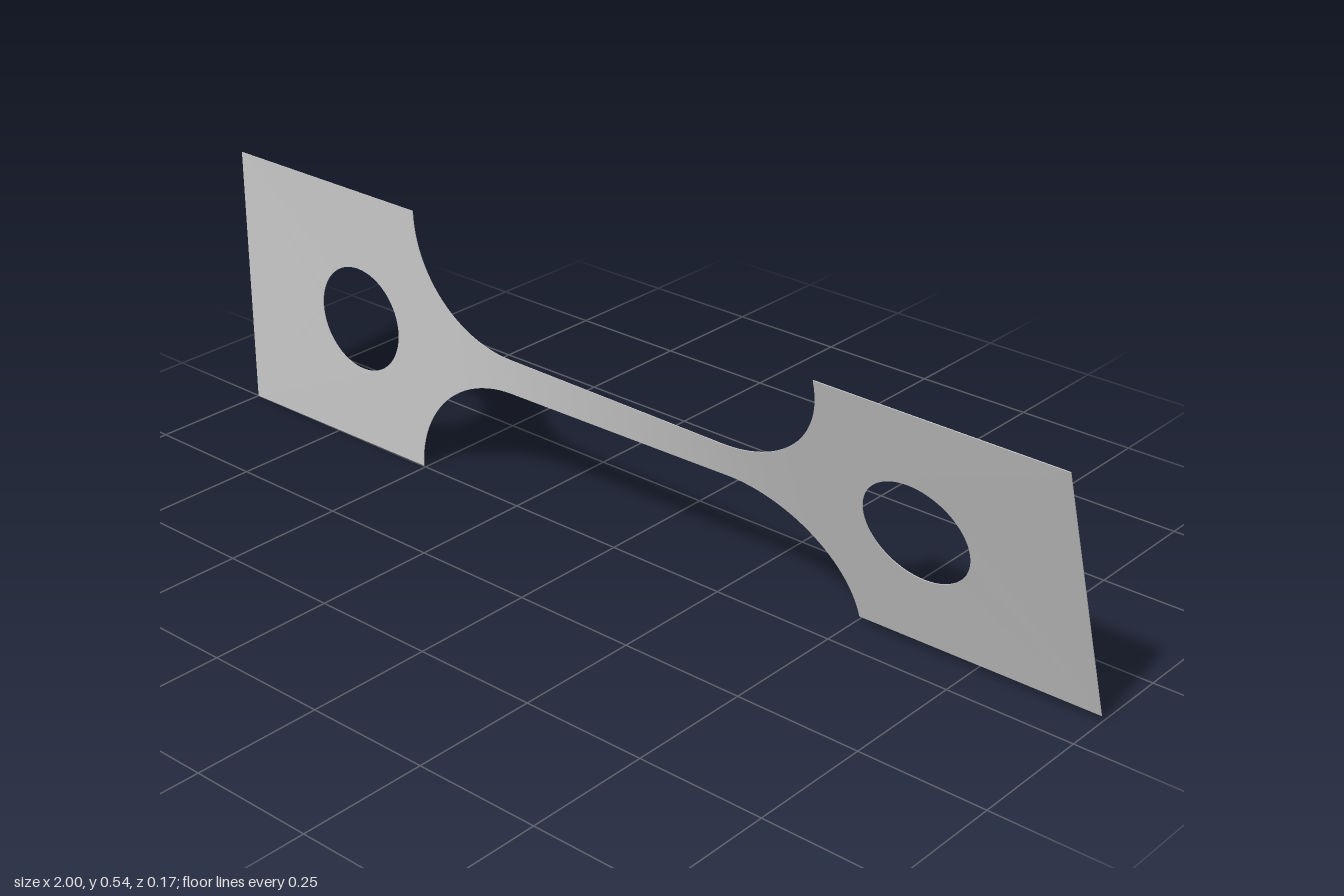
import * as THREE from 'three';

const HALF_H = 0.271, NECK_H = 0.036; // half heights of the grips and the neck
const TAB_X = 0.507, NECK_X = 0.26;   // where each grip and each fillet ends
const THICK = 0.0015, TWIST = THREE.MathUtils.degToRad(18.2);

// Half height of the plate at x, with elliptical fillets between neck and grip
function halfHeight(x) {
  const a = Math.abs(x);
  if (a >= TAB_X) return HALF_H;
  if (a <= NECK_X) return NECK_H;
  const k = (a - NECK_X) / (TAB_X - NECK_X);
  return HALF_H - (HALF_H - NECK_H) * Math.sqrt(1 - k * k);
}

// Accumulated twist: narrow sections turn more than wide ones
const STEPS = 800, turn = [0];
for (let i = 0; i < STEPS; i++) {
  const x = -1 + (2 * (i + 0.5)) / STEPS;
  turn.push(turn[i] + Math.pow(halfHeight(x), -1.5));
}
function angleAt(x) {
  const f = THREE.MathUtils.clamp((x + 1) / 2, 0, 1) * STEPS;
  const i = Math.min(Math.floor(f), STEPS - 1);
  return (TWIST * THREE.MathUtils.lerp(turn[i], turn[i + 1], f - i)) / turn[STEPS];
}

// Twist a flat geometry about the long axis
function twist(geo) {
  const p = geo.attributes.position;
  for (let i = 0; i < p.count; i++) {
    const y = p.getY(i), z = p.getZ(i), t = angleAt(p.getX(i));
    p.setY(i, y * Math.cos(t) - z * Math.sin(t));
    p.setZ(i, y * Math.sin(t) + z * Math.cos(t));
  }
  geo.computeVertexNormals();
  return geo;
}

// Rectangular grip with a round pin hole
function gripGeometry(side) {
  const a = Math.min(side, side * TAB_X), b = Math.max(side, side * TAB_X);
  const shape = new THREE.Shape();
  shape.moveTo(a, -HALF_H).lineTo(b, -HALF_H).lineTo(b, HALF_H).lineTo(a, HALF_H).closePath();
  shape.holes.push(new THREE.Path().absarc(side * 0.67, 0, 0.108, 0, Math.PI * 2, true));
  const geo = new THREE.ExtrudeGeometry(shape, { depth: THICK, bevelEnabled: false, curveSegments: 32 });
  return twist(geo.translate(0, 0, -THICK / 2));
}

// Neck and fillets: a box grid bent to the outline, denser where the fillet is steep
function neckGeometry() {
  const geo = new THREE.BoxGeometry(2, 2, THICK, 96, 8, 1);
  const p = geo.attributes.position;
  for (let i = 0; i < p.count; i++) {
    const u = p.getX(i), a = Math.abs(u);
    const x = a <= 0.5
      ? u * 2 * NECK_X
      : Math.sign(u) * (NECK_X + (TAB_X - NECK_X) * Math.sin((a - 0.5) * Math.PI));
    p.setX(i, x);
    p.setY(i, p.getY(i) * halfHeight(x));
  }
  return twist(geo);
}

export function createModel() {
  const steel = new THREE.MeshStandardMaterial({ color: 0xc8c8c8 });
  steel.name = 'light grey steel';
  const group = new THREE.Group();
  group.name = 'twistedTestStrip';
  const add = (name, geo) => {
    const mesh = new THREE.Mesh(geo, steel);
    mesh.name = name;
    mesh.position.y = HALF_H;
    group.add(mesh);
  };
  add('rightGrip', gripGeometry(-1));
  add('neck', neckGeometry());
  add('leftGrip', gripGeometry(1));
  return group;
}
